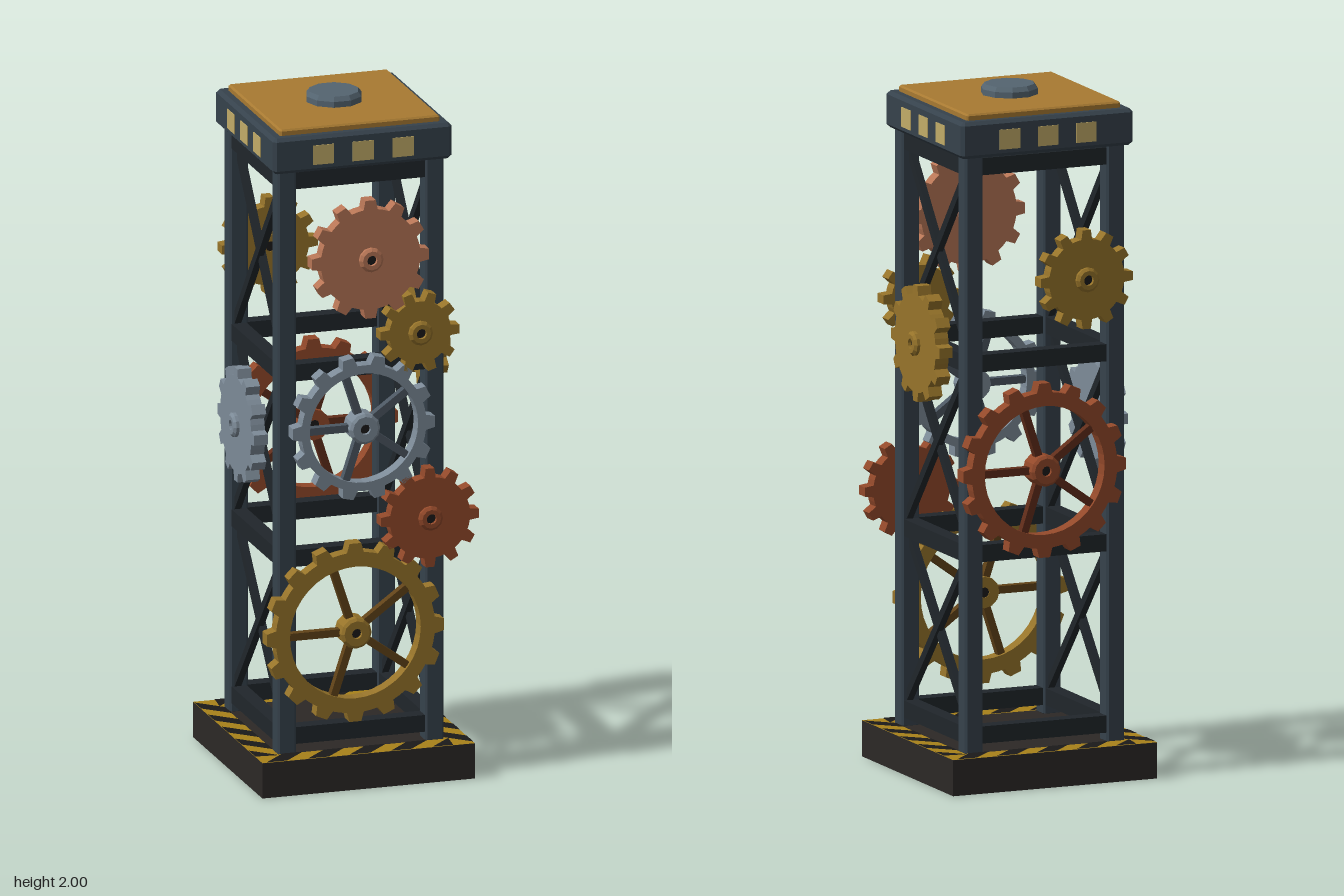
import * as THREE from 'three';

const paint = (color) => new THREE.MeshStandardMaterial({ color, flatShading: true, roughness: 0.8 });
const MAT = {
  steel: paint(0x36424c), dark: paint(0x20262b), base: paint(0x2c2826), black: paint(0x1b1a1a),
  yellow: paint(0xa8821a), plate: paint(0xa87a32), lamp: paint(0xc2ac68), knob: paint(0x546470),
  gold: paint(0x97742a), goldDark: paint(0x614318), rust: paint(0x93492a), rustDark: paint(0x612d1a),
  copper: paint(0xb87656), silver: paint(0x7d8b98), silverDark: paint(0x4c5762),
};

function add(parent, name, geometry, material, x = 0, y = 0, z = 0) {
  const mesh = new THREE.Mesh(geometry, material);
  mesh.name = name;
  mesh.position.set(x, y, z);
  parent.add(mesh);
  return mesh;
}

// Upright square block with every edge chamfered, standing on y = 0
function chamferedBlock(size, height, c) {
  const h = size / 2, s = new THREE.Shape();
  [[h - c, -h], [h, c - h], [h, h - c], [h - c, h], [c - h, h], [-h, h - c], [-h, c - h], [c - h, -h]]
    .forEach(([x, y], i) => (i ? s.lineTo(x, y) : s.moveTo(x, y)));
  s.closePath();
  return new THREE.ExtrudeGeometry(s, {
    depth: height - 2 * c, bevelThickness: c, bevelSize: c, bevelOffset: -c, bevelSegments: 1,
  }).translate(0, 0, c).rotateX(-Math.PI / 2);
}

// Toothed disc outline: root, flank, tip, flank for each tooth
function gearShape(r, teeth, holeRadius) {
  const root = r - 0.027, step = (2 * Math.PI) / teeth, s = new THREE.Shape();
  for (let i = 0; i < teeth; i++) {
    [[-0.27, root], [-0.17, r], [0.17, r], [0.27, root], [0.5, root]].forEach(([t, q], k) => {
      const a = (i + t) * step, x = q * Math.cos(a), y = q * Math.sin(a);
      if (i === 0 && k === 0) s.moveTo(x, y); else s.lineTo(x, y);
    });
  }
  s.closePath();
  const hole = new THREE.Path();
  hole.absarc(0, 0, holeRadius, 0, 2 * Math.PI, true);
  s.holes.push(hole);
  return s;
}

// Gear lying in the xy plane with its back on z = 0
function gear({ name, r, teeth, color, inner = 0, spokes = 5, phase = Math.PI }) {
  const g = new THREE.Group(), t = 0.042;
  g.name = name;
  const hubR = inner ? 0.046 : 0.036;
  add(g, 'toothedWheel', new THREE.ExtrudeGeometry(gearShape(r, teeth, inner || 0.016),
    { depth: t, bevelEnabled: false, curveSegments: 20 }), MAT[color]);
  if (inner) {
    const len = inner - 0.02;
    for (let i = 0; i < spokes; i++) {
      const a = phase + (i * 2 * Math.PI) / spokes, mid = 0.03 + len / 2;
      add(g, 'spoke', new THREE.BoxGeometry(len, 0.022, 0.024), MAT[color + 'Dark'],
        mid * Math.cos(a), mid * Math.sin(a), t / 2).rotation.z = a;
    }
  }
  const profile = [[0.015, -0.008], [hubR, -0.008], [hubR, t + 0.009], [hubR - 0.008, t + 0.016], [0.015, t + 0.016], [0.015, -0.008]];
  add(g, 'hub', new THREE.LatheGeometry(profile.map((p) => new THREE.Vector2(...p)), 12).rotateX(Math.PI / 2), MAT[color]);
  add(g, 'axle', new THREE.CylinderGeometry(0.016, 0.016, t + 0.01, 8).rotateX(Math.PI / 2), MAT.black, 0, 0, t / 2);
  return g;
}

// Gears on each face: u is measured across the face, seen from outside
const FACES = [
  { name: 'front', turn: 0, gears: [
    { name: 'largeSpokedGear', u: -0.032, y: 0.463, r: 0.267, teeth: 16, color: 'gold', inner: 0.197 },
    { name: 'lowerSolidGear', u: 0.193, y: 0.785, r: 0.148, teeth: 12, color: 'rust' },
    { name: 'middleSpokedGear', u: -0.006, y: 1.072, r: 0.215, teeth: 14, color: 'silver', inner: 0.163 },
    { name: 'smallSolidGear', u: 0.163, y: 1.342, r: 0.12, teeth: 10, color: 'gold' },
    { name: 'upperSolidGear', u: 0.014, y: 1.575, r: 0.177, teeth: 12, color: 'copper' }] },
  { name: 'leftSide', turn: Math.PI / 2, braced: true, gears: [
    { name: 'sideGear', u: 0, y: 1.263, r: 0.17, teeth: 12, color: 'gold' }] },
  { name: 'back', turn: Math.PI, gears: [
    { name: 'backSpokedGear', u: -0.022, y: 0.923, r: 0.255, teeth: 16, color: 'rust', inner: 0.188 },
    { name: 'backSolidGear', u: 0.11, y: 1.47, r: 0.145, teeth: 12, color: 'gold' }] },
  { name: 'rightSide', turn: -Math.PI / 2, braced: true, gears: [
    { name: 'sideGear', u: 0, y: 1.025, r: 0.17, teeth: 12, color: 'silver' }] },
];

const POST = 0.222; // post centre from the tower axis
const LEVELS = [0.155, 0.685, 1.24, 1.815]; // beam heights

// Diagonal hazard stripes along the -z edge of the base, mitred at the corners
function hazardStrip(parent) {
  const h = 0.32, w = 0.07, band = new THREE.Shape();
  const flat = (pts) => new THREE.ShapeGeometry(new THREE.Shape(pts.map((p) => new THREE.Vector2(...p)))).rotateX(-Math.PI / 2);
  add(parent, 'yellowBand', flat([[-h, h], [w - h, h - w], [h - w, h - w], [h, h]]), MAT.yellow, 0, 0.1055, 0);
  for (let i = 0; i < 5; i++) {
    const x = -0.255 + i * 0.125, b = x + 0.0625;
    add(parent, 'blackStripe', flat([[x, h], [Math.max(x - w, w - h), h - w], [b - w, h - w], [b, h]]), MAT.black, 0, 0.107, 0);
  }
}

export function createModel() {
  const model = new THREE.Group();
  model.name = 'gearTower';
  const tower = new THREE.Group();
  tower.name = 'tower';
  tower.position.x = -0.013;
  model.add(tower);

  // Base and corner posts
  add(tower, 'base', new THREE.BoxGeometry(0.64, 0.105, 0.64), MAT.base, 0, 0.0525, 0);
  for (const sx of [-1, 1]) for (const sz of [-1, 1]) {
    add(tower, 'cornerPost', chamferedBlock(0.056, 1.75, 0.006), MAT.steel, sx * POST, 0.1, sz * POST);
  }

  // Roof: cap, plate and ten-sided knob
  add(tower, 'cap', chamferedBlock(0.54, 0.107, 0.01), MAT.steel, 0, 1.845, 0);
  add(tower, 'roofPlate', chamferedBlock(0.482, 0.024, 0.005), MAT.plate, 0, 1.946, 0);
  add(tower, 'knob', new THREE.CylinderGeometry(0.083, 0.083, 0.022, 10), MAT.knob, 0, 1.976, 0).rotation.y = Math.PI / 10;
  add(tower, 'knobTop', new THREE.CylinderGeometry(0.073, 0.083, 0.013, 10), MAT.knob, 0, 1.9935, 0).rotation.y = Math.PI / 10;

  for (const face of FACES) {
    const side = new THREE.Group();
    side.name = face.name;
    side.rotation.y = face.turn;
    tower.add(side);
    hazardStrip(side);

    // Cross beams
    for (const y of LEVELS) {
      add(side, 'beam', new THREE.BoxGeometry(2 * POST - 0.05, 0.05, 0.045), MAT.dark, 0, y, POST);
    }

    // Crossed braces between the beams
    if (face.braced) {
      for (let i = 0; i < 3; i++) {
        const rise = LEVELS[i + 1] - LEVELS[i] - 0.02, mid = (LEVELS[i] + LEVELS[i + 1]) / 2;
        for (const s of [-1, 1]) {
          add(side, 'brace', new THREE.BoxGeometry(Math.hypot(2 * POST, rise), 0.024, 0.02), MAT.dark,
            0, mid, POST + s * 0.004).rotation.z = s * Math.atan2(rise, 2 * POST);
        }
      }
    }

    // Lamp panels on the cap
    for (const x of [-0.12, 0, 0.12]) {
      add(side, 'lampPanel', new THREE.BoxGeometry(0.064, 0.058, 0.008), MAT.lamp, x, 1.895, 0.268);
    }

    // Gears and the shafts holding them
    for (const spec of face.gears) {
      const g = gear(spec);
      g.position.set(spec.u, spec.y, 0.254);
      side.add(g);
    }
  }
  return model;
}
